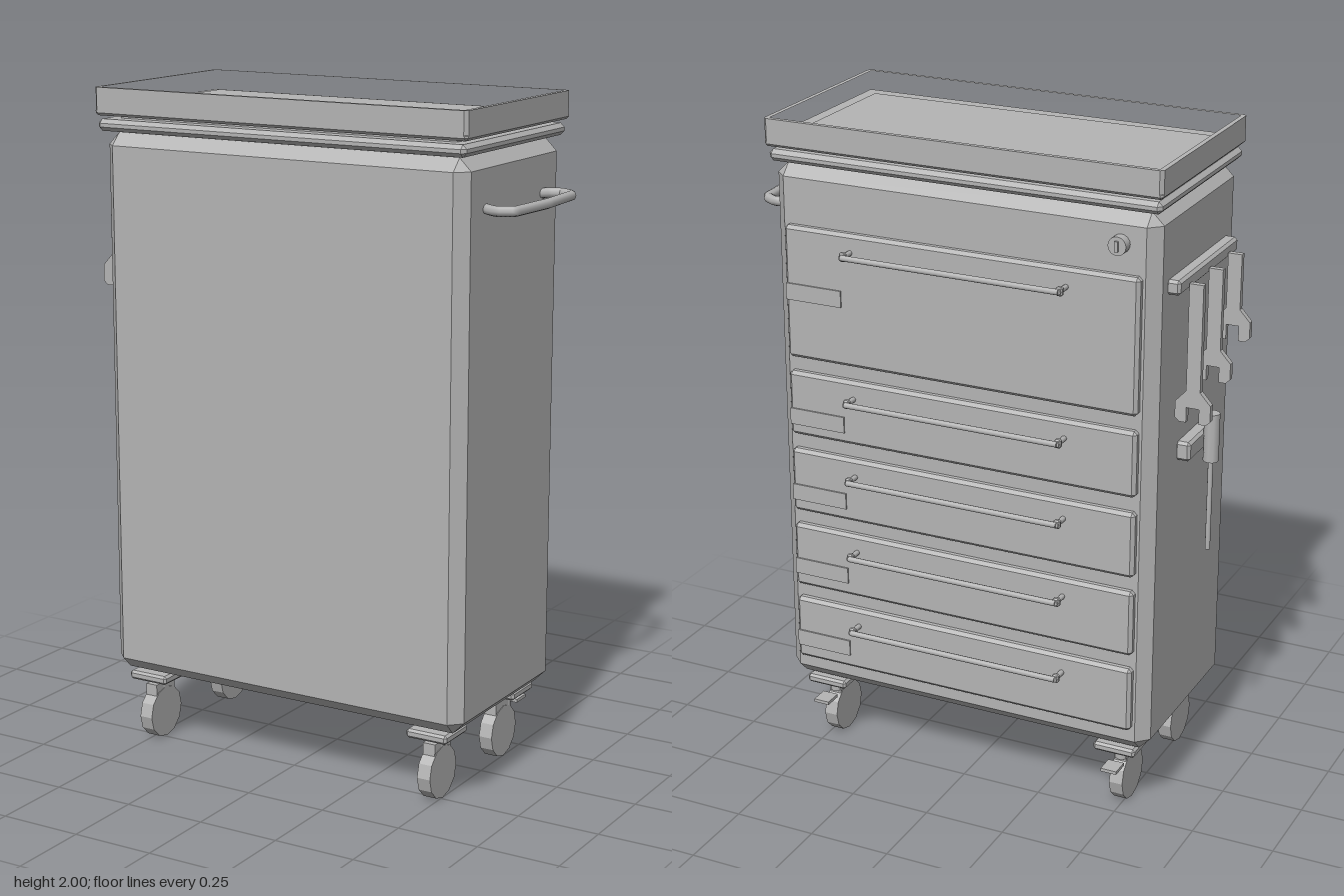
import * as THREE from 'three';
import { ConvexGeometry } from 'three/addons/geometries/ConvexGeometry.js';

const steel = new THREE.MeshStandardMaterial({ color: 0xb4b4b4 });
steel.name = 'grey steel';

// Box given by its extents, with every edge cut at 45 degrees
function chamferBox(x0, x1, y0, y1, z0, z1, c) {
  const hx = (x1 - x0) / 2, hy = (y1 - y0) / 2, hz = (z1 - z0) / 2;
  const pts = [];
  for (const a of [-1, 1]) for (const b of [-1, 1]) for (const d of [-1, 1]) {
    pts.push(new THREE.Vector3(a * hx, b * (hy - c), d * (hz - c)));
    pts.push(new THREE.Vector3(a * (hx - c), b * hy, d * (hz - c)));
    pts.push(new THREE.Vector3(a * (hx - c), b * (hy - c), d * hz));
  }
  return new ConvexGeometry(pts).translate((x0 + x1) / 2, (y0 + y1) / 2, (z0 + z1) / 2);
}

function box(x0, x1, y0, y1, z0, z1) {
  return new THREE.BoxGeometry(x1 - x0, y1 - y0, z1 - z0)
    .translate((x0 + x1) / 2, (y0 + y1) / 2, (z0 + z1) / 2);
}

// Straight-sided bar following a polyline
function bar(points, radius, sides) {
  const path = new THREE.CurvePath();
  const v = points.map((p) => new THREE.Vector3(...p));
  for (let i = 1; i < v.length; i++) path.add(new THREE.LineCurve3(v[i - 1], v[i]));
  return new THREE.TubeGeometry(path, 48, radius, sides, false);
}

function add(parent, name, geometry) {
  const mesh = new THREE.Mesh(geometry, steel);
  mesh.name = name;
  parent.add(mesh);
  return mesh;
}

function subgroup(parent, name) {
  const g = new THREE.Group();
  g.name = name;
  parent.add(g);
  return g;
}

function rectPoints(x0, x1, z0, z1, c) {
  return [[x0 + c, z0], [x1 - c, z0], [x1, z0 + c], [x1, z1 - c], [x1 - c, z1], [x0 + c, z1], [x0, z1 - c], [x0, z0 + c]]
    .map(([x, z]) => new THREE.Vector2(x, -z));
}

// Open tray with a raised rim and a thin mat
function addTray(model) {
  const tray = subgroup(model, 'topTray');
  add(tray, 'trayFloor', chamferBox(-0.617, 0.607, 1.918, 1.94, -0.287, 0.343, 0.008));
  const shape = new THREE.Shape(rectPoints(-0.617, 0.607, -0.287, 0.343, 0.01));
  shape.holes.push(new THREE.Path(rectPoints(-0.602, 0.592, -0.272, 0.328, 0.002)));
  const rim = new THREE.ExtrudeGeometry(shape, { depth: 0.07, bevelEnabled: false });
  add(tray, 'trayRim', rim.rotateX(-Math.PI / 2).translate(0, 1.93, 0));
  add(tray, 'trayMat', box(-0.565, 0.555, 1.94, 1.945, -0.236, 0.282));
}

// Drawer front with pull bar and label plate
function addDrawer(model, y0, y1, labelTop) {
  const drawer = subgroup(model, 'drawer');
  add(drawer, 'drawerFront', chamferBox(-0.558, 0.55, y0, y1, -0.29, -0.255, 0.01));
  const y = y1 - 0.054;
  add(drawer, 'pullBar', new THREE.CylinderGeometry(0.009, 0.009, 0.675, 8)
    .rotateZ(Math.PI / 2).translate(-0.004, y, -0.341));
  for (const x of [-0.341, 0.333]) {
    add(drawer, 'pullPost', new THREE.CylinderGeometry(0.008, 0.008, 0.06, 8)
      .rotateX(Math.PI / 2).translate(x, y, -0.314));
    add(drawer, 'pullEnd', chamferBox(x - 0.01, x + 0.01, y - 0.013, y + 0.013, -0.339, -0.322, 0.004));
  }
  add(drawer, 'labelPlate', box(0.365, 0.545, labelTop - 0.05, labelTop, -0.295, -0.289));
}

// Open-ended spanner hanging from the rail
function addWrench(model, z, bottom) {
  const cx = -0.662, tip = bottom, half = 0.053;
  const side = [[0.021, 1.645], [0.021, tip + 0.095], [half, tip + 0.06], [half, tip + 0.012],
    [0.04, tip], [0.019, tip], [0.019, tip + 0.045]];
  const left = side.slice().reverse().map(([x, y]) => [-x, y]);
  const shape = new THREE.Shape([...side, ...left].map(([x, y]) => new THREE.Vector2(cx + x, y)));
  const geo = new THREE.ExtrudeGeometry(shape, { depth: 0.018, bevelEnabled: false });
  add(model, 'wrench', geo.translate(0, 0, z - 0.009));
}

// Swivel caster: mount plate, stem, fork, twelve-sided wheel
function addCaster(model, x, z, wheelZ, braked) {
  const caster = subgroup(model, 'caster');
  add(caster, 'mountPlate', chamferBox(x - 0.066, x + 0.066, 0.19, 0.217, z - 0.066, z + 0.066, 0.007));
  add(caster, 'stem', new THREE.CylinderGeometry(0.021, 0.021, 0.08, 10).translate(x, 0.19, z));
  add(caster, 'fork', box(x - 0.019, x + 0.019, 0.12, 0.177, wheelZ - 0.048, wheelZ + 0.048));
  add(caster, 'wheel', new THREE.CylinderGeometry(0.08, 0.08, 0.042, 12).toNonIndexed()
    .rotateZ(Math.PI / 2).translate(x, 0.08, wheelZ)).geometry.computeVertexNormals();
  if (braked) add(caster, 'brakePedal', box(x - 0.025, x + 0.025, 0.145, 0.155, -0.28, -0.222));
}

export function createModel() {
  const model = new THREE.Group();
  model.name = 'toolTrolley';

  // Cabinet
  add(model, 'cabinetBody', chamferBox(-0.602, 0.594, 0.225, 1.867, -0.267, 0.327, 0.036));
  add(model, 'neck', box(-0.56, 0.55, 1.86, 1.92, -0.23, 0.29));
  add(model, 'topLip', chamferBox(-0.61, 0.6, 1.873, 1.908, -0.278, 0.342, 0.012));
  addTray(model);

  // Drawers and lock
  const drawers = [[1.29, 1.693, 1.52], [1.045, 1.245, 1.13], [0.797, 0.998, 0.885],
    [0.549, 0.752, 0.64], [0.303, 0.505, 0.395]];
  for (const d of drawers) addDrawer(model, ...d);
  const lock = subgroup(model, 'lock');
  add(lock, 'lockBarrel', new THREE.CylinderGeometry(0.027, 0.027, 0.035, 16)
    .rotateX(Math.PI / 2).translate(-0.492, 1.778, -0.279));
  add(lock, 'lockKeyway', box(-0.497, -0.487, 1.763, 1.793, -0.303, -0.295));

  // Push handle on the left side
  const h = 1.72, mid = 0.027;
  const half = [[0.585, 0.165], [0.606, 0.185], [0.64, 0.203], [0.684, 0.178], [0.695, 0.0]];
  const path = [
    ...half.map(([x, z]) => [x, h, mid - z]),
    ...half.slice(0, -1).reverse().map(([x, z]) => [x, h, mid + z]),
  ];
  add(model, 'pushHandle', bar(path, 0.015, 8));

  // Wrench rail and wrenches on the right side
  add(model, 'wrenchRail', chamferBox(-0.638, -0.595, 1.625, 1.668, -0.195, 0.25, 0.008));
  addWrench(model, -0.125, 1.235);
  addWrench(model, 0.023, 1.31);
  addWrench(model, 0.172, 1.385);

  // Screwdriver in its holder
  add(model, 'screwdriverHolder', chamferBox(-0.641, -0.595, 1.095, 1.153, -0.09, 0.136, 0.008));
  const driver = subgroup(model, 'screwdriver');
  add(driver, 'screwdriverGrip', new THREE.CylinderGeometry(0.023, 0.023, 0.147, 10)
    .translate(-0.663, 1.137, 0.023));
  add(driver, 'screwdriverShaft', new THREE.CylinderGeometry(0.008, 0.008, 0.29, 8)
    .translate(-0.663, 0.928, 0.023));

  // Casters, brakes on the drawer side
  for (const x of [-0.491, 0.48]) {
    addCaster(model, x, 0.243, 0.24, false);
    addCaster(model, x, -0.18, -0.143, true);
  }
  return model;
}
